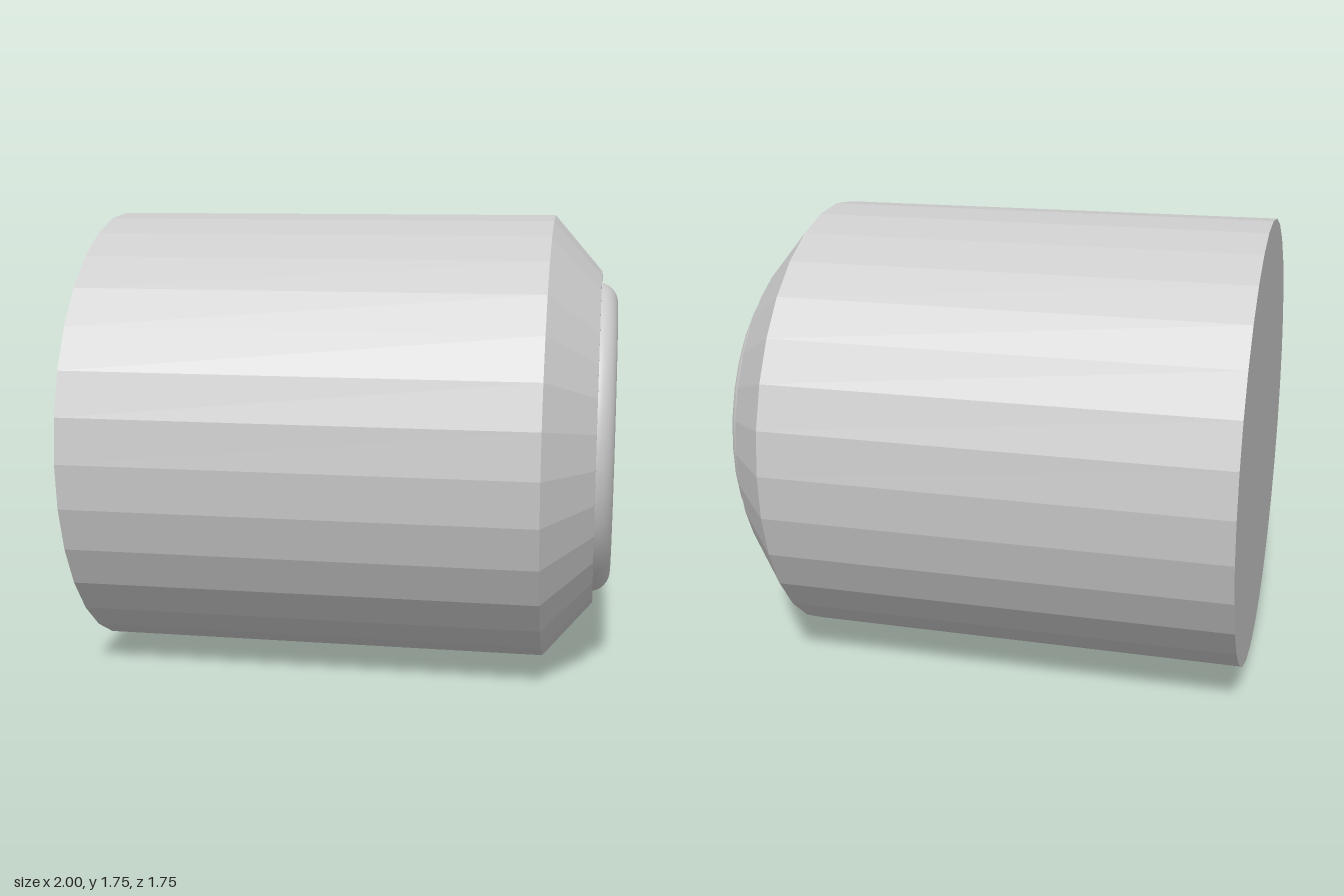
import * as THREE from 'three';

const SIDES = 32;
const CENTER_Y = 0.875;

// Revolve [radius, x] pairs around the x axis
function revolve(profile) {
  const points = profile.map(([r, x]) => new THREE.Vector2(r, x));
  return new THREE.LatheGeometry(points, SIDES).rotateZ(-Math.PI / 2);
}

export function createModel() {
  const model = new THREE.Group();
  model.name = 'lockCylinder';

  const smooth = new THREE.MeshStandardMaterial({ color: 0xcccccc });
  const faceted = new THREE.MeshStandardMaterial({ color: 0xcccccc, flatShading: true });
  const inside = new THREE.MeshStandardMaterial({ color: 0xcccccc, flatShading: true, side: THREE.BackSide });

  const add = (name, geometry, material) => {
    const mesh = new THREE.Mesh(geometry, material);
    mesh.name = name;
    mesh.position.y = CENTER_Y;
    model.add(mesh);
  };

  // Housing: flat back, straight barrel, bevel and narrow front ring
  add('housing', revolve([[0, -1], [0.875, -1], [0.875, 0.75], [0.66, 0.935], [0.6, 0.935]]), faceted);

  // Rounded rim of the plug
  const faceRadius = 0.53;
  const rim = [];
  for (let i = 0; i <= 8; i++) {
    const a = (i / 8) * Math.PI / 2;
    rim.push([faceRadius + 0.085 * Math.cos(a), 0.925 + 0.075 * Math.sin(a)]);
  }
  add('plugRim', revolve(rim), smooth);

  // Flat plug face with the keyhole cut out
  const w = 0.175, h = 0.67, depth = 0.5;
  const face = new THREE.Shape();
  for (let i = 0; i < SIDES; i++) {
    const a = (i / SIDES) * Math.PI * 2;
    const x = faceRadius * Math.cos(a), y = faceRadius * Math.sin(a);
    if (i) face.lineTo(x, y); else face.moveTo(x, y);
  }
  const hole = new THREE.Path();
  hole.moveTo(-w / 2, -h / 2).lineTo(-w / 2, h / 2).lineTo(w / 2, h / 2).lineTo(w / 2, -h / 2);
  hole.closePath();
  face.holes.push(hole);
  add('plugFace', new THREE.ShapeGeometry(face).rotateY(Math.PI / 2).translate(1, 0, 0), smooth);

  // Keyhole pocket: inward-facing box without its front (+x) face
  const pocket = new THREE.BoxGeometry(depth, h, w).translate(1 - depth / 2, 0, 0);
  pocket.setIndex(Array.from(pocket.index.array).slice(6));
  pocket.clearGroups();
  add('keyhole', pocket, inside);

  return model;
}
